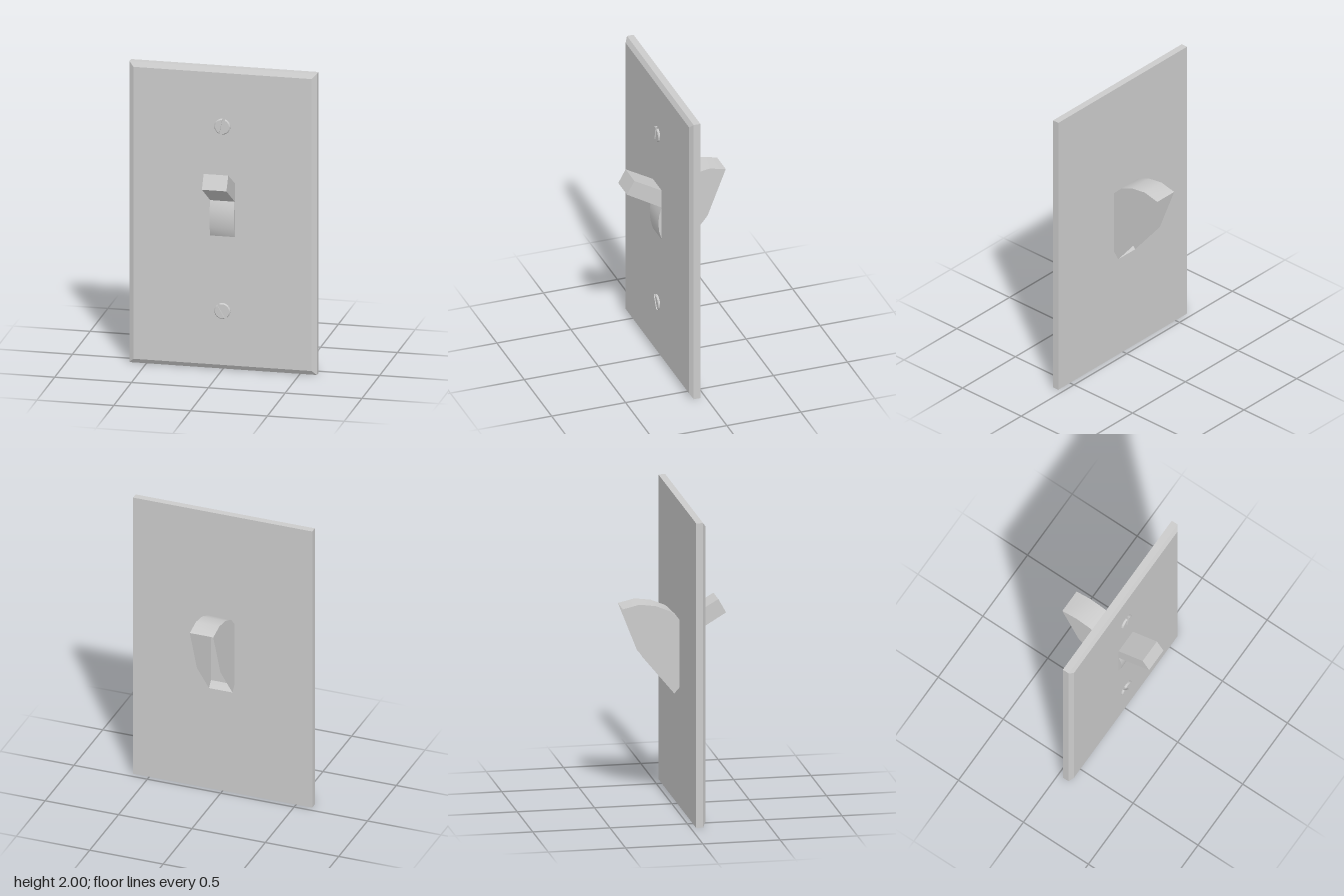
import * as THREE from 'three';
import { toCreasedNormals } from 'three/addons/utils/BufferGeometryUtils.js';

const material = new THREE.MeshStandardMaterial({ color: 0xcccccc });
const thinMaterial = new THREE.MeshStandardMaterial({ color: 0xcccccc, side: THREE.DoubleSide });
const HALF = 0.08; // half width of the toggle

function add(parent, name, geometry, mat = material) {
  const mesh = new THREE.Mesh(geometry, mat);
  mesh.name = name;
  parent.add(mesh);
  return mesh;
}

// Shape from [z, y] pairs; rotating it by -90 degrees about y turns its x into z
const sideShape = (pts) => new THREE.Shape(pts.map(([z, y]) => new THREE.Vector2(z, y)));

// Wall plate: a box whose front rim is pulled in to a bevel
function plateGeometry() {
  const box = new THREE.BoxGeometry(1.22, 2, 2, 1, 1, 2);
  const p = box.attributes.position;
  for (let i = 0; i < p.count; i++) {
    const layer = Math.round(p.getZ(i)) + 1;
    const inset = layer === 2 ? 0.03 : 0;
    p.setXYZ(i,
      p.getX(i) - Math.sign(p.getX(i)) * inset,
      p.getY(i) - Math.sign(p.getY(i)) * inset + 1,
      [0.035, 0.08, 0.1][layer]);
  }
  const flat = box.toNonIndexed();
  flat.computeVertexNormals();
  return flat;
}

// Strip running across the toggle's width along a [z, y] path
function stripGeometry(path) {
  const v = [];
  for (let i = 0; i < path.length - 1; i++) {
    const [z0, y0] = path[i], [z1, y1] = path[i + 1];
    v.push(HALF, y0, z0, -HALF, y0, z0, HALF, y1, z1);
    v.push(-HALF, y0, z0, -HALF, y1, z1, HALF, y1, z1);
  }
  const g = new THREE.BufferGeometry();
  g.setAttribute('position', new THREE.Float32BufferAttribute(v, 3));
  return toCreasedNormals(g, 0.7);
}

// One half of a slotted screw head, rim tapered towards the front
function screwHalfGeometry() {
  const r = 0.052, slot = 0.009, a = Math.acos(slot / r);
  const shape = new THREE.Shape().absarc(0, 0, r, -a, a, false);
  const g = new THREE.ExtrudeGeometry(shape, { depth: 0.014, steps: 2, bevelEnabled: false, curveSegments: 16 });
  const p = g.attributes.position;
  for (let i = 0; i < p.count; i++) {
    if (p.getZ(i) > 0.013) p.setXY(i, slot + (p.getX(i) - slot) * 0.86, p.getY(i) * 0.88);
  }
  return toCreasedNormals(g, 0.5);
}

export function createModel() {
  const model = new THREE.Group();
  model.name = 'lightSwitch';
  add(model, 'wallPlate', plateGeometry());

  // Toggle: hollow rocker body, open at the back, with a lever in front
  const toggle = new THREE.Group();
  toggle.name = 'toggle';
  model.add(toggle);

  const profile = [
    [-0.333, 1.315], [-0.225, 1.34], [-0.12, 1.325], [-0.025, 1.285], [0.035, 1.225],
    [0.075, 1.17], [0.1, 1.12], [0.117, 1.065], [0.123, 1.01], [0.117, 0.945],
    [0.1, 0.885], [0.035, 0.785], [0, 0.745],
  ];
  add(toggle, 'rockerShell', stripGeometry(profile), thinMaterial);
  for (const s of [-1, 1]) {
    const wall = new THREE.ShapeGeometry(sideShape([...profile, [-0.21, 1.0]]));
    wall.rotateY(-Math.PI / 2).translate(s * HALF, 0, 0);
    add(toggle, s > 0 ? 'leftRockerWall' : 'rightRockerWall', wall, thinMaterial);
  }

  const lever = new THREE.ExtrudeGeometry(
    sideShape([[0.05, 1.09], [0.335, 1.26], [0.285, 1.35], [0.05, 1.215]]),
    { depth: 2 * HALF, bevelEnabled: false });
  lever.rotateY(-Math.PI / 2).translate(HALF, 0, 0);
  add(toggle, 'lever', lever);

  // Slotted screws
  for (const [name, y, turn] of [['topScrew', 1.615, -0.2], ['bottomScrew', 0.39, 0.52]]) {
    const screw = new THREE.Group();
    screw.name = name;
    screw.position.set(0, y, 0.099);
    screw.rotation.z = turn;
    for (const angle of [0, Math.PI]) add(screw, 'screwHeadHalf', screwHalfGeometry()).rotation.z = angle;
    add(screw, 'slotFloor', new THREE.CircleGeometry(0.05, 32)).position.z = 0.004;
    model.add(screw);
  }
  return model;
}
